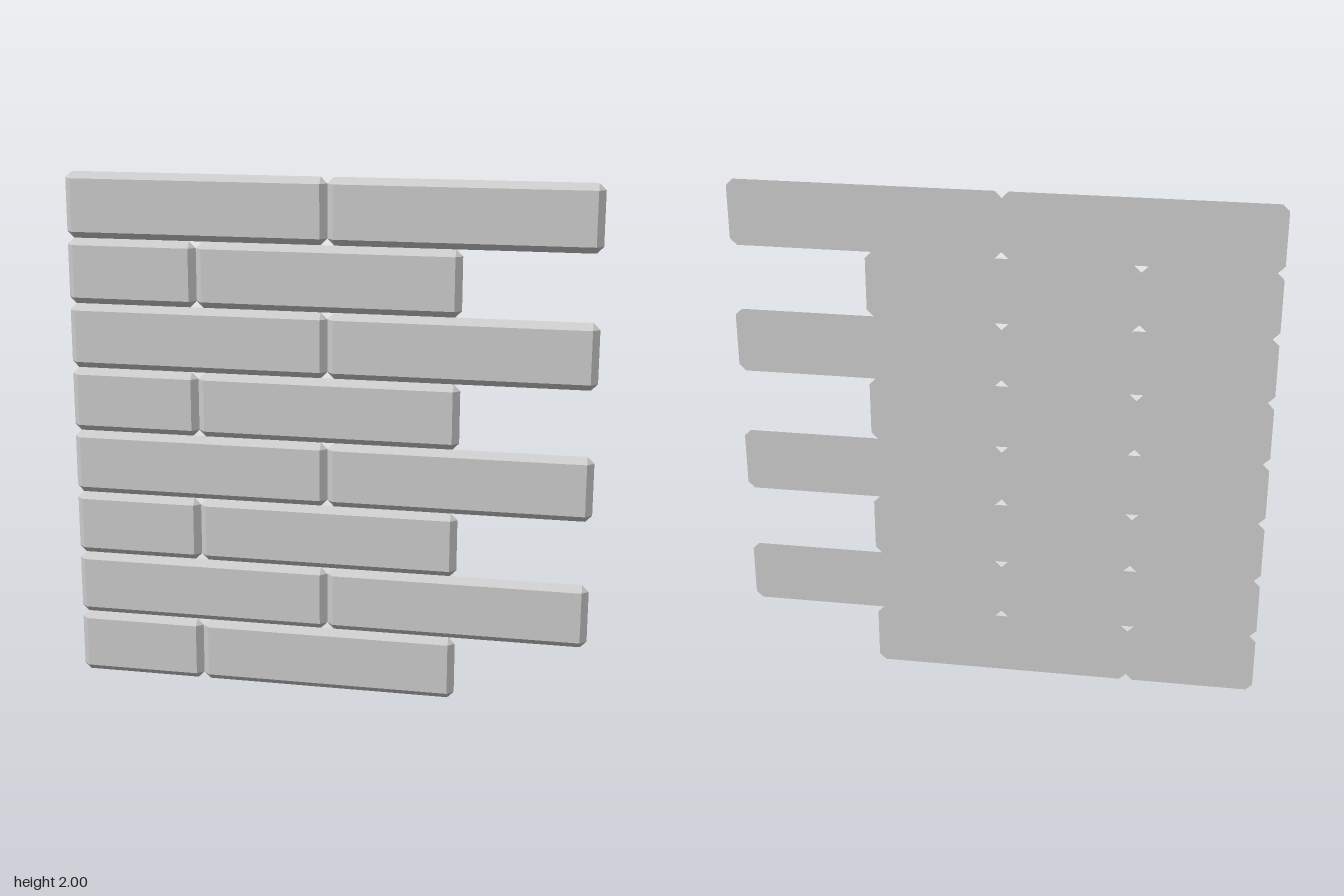
import * as THREE from 'three';

const DEPTH = 0.025, BEVEL = 0.025, ROW = 0.25, ROWS = 8;

// Brick with a flat octagonal back, sloped sides and a smaller rectangular front
function brickGeometry(width, height) {
  const w = width / 2, h = height / 2, b = BEVEL, z = DEPTH / 2;
  const front = [], back = [];
  for (const [sx, sy] of [[1, 1], [-1, 1], [-1, -1], [1, -1]]) {
    const corner = new THREE.Vector3(sx * (w - b), sy * (h - b), z);
    const onSide = new THREE.Vector3(sx * w, sy * (h - b), -z);
    const onEnd = new THREE.Vector3(sx * (w - b), sy * h, -z);
    front.push(corner);
    back.push(...(sx * sy > 0 ? [onSide, onEnd] : [onEnd, onSide]));
  }
  const points = [];
  const tri = (...corners) => points.push(...corners);
  for (let i = 0; i < 4; i++) {
    const f = front[i], fNext = front[(i + 1) % 4];
    const b0 = back[2 * i], b1 = back[2 * i + 1], b2 = back[(2 * i + 2) % 8];
    tri(f, b0, b1);               // corner facet
    tri(f, b1, b2);               // sloped side
    tri(f, b2, fNext);
  }
  tri(front[0], front[1], front[2]);
  tri(front[0], front[2], front[3]);
  for (let i = 1; i < 7; i++) tri(back[0], back[i + 1], back[i]);
  const geometry = new THREE.BufferGeometry().setFromPoints(points);
  geometry.computeVertexNormals();
  return geometry;
}

export function createModel() {
  const group = new THREE.Group();
  group.name = 'brickWallPanel';
  const material = new THREE.MeshStandardMaterial({ color: 0xcccccc, flatShading: true });
  const fullBrick = brickGeometry(1, ROW);
  const halfBrick = brickGeometry(0.5, ROW);

  const addBrick = (name, geometry, x, y) => {
    const mesh = new THREE.Mesh(geometry, material);
    mesh.name = name;
    mesh.position.set(x, y, 0);
    group.add(mesh);
  };

  // Alternate courses: half + full brick, then two full bricks
  for (let row = 0; row < ROWS; row++) {
    const y = (row + 0.5) * ROW;
    if (row % 2 === 0) {
      addBrick('halfBrick', halfBrick, -0.75, y);
      addBrick('fullBrick', fullBrick, 0, y);
    } else {
      addBrick('fullBrick', fullBrick, -0.5, y);
      addBrick('fullBrick', fullBrick, 0.5, y);
    }
  }
  return group;
}
